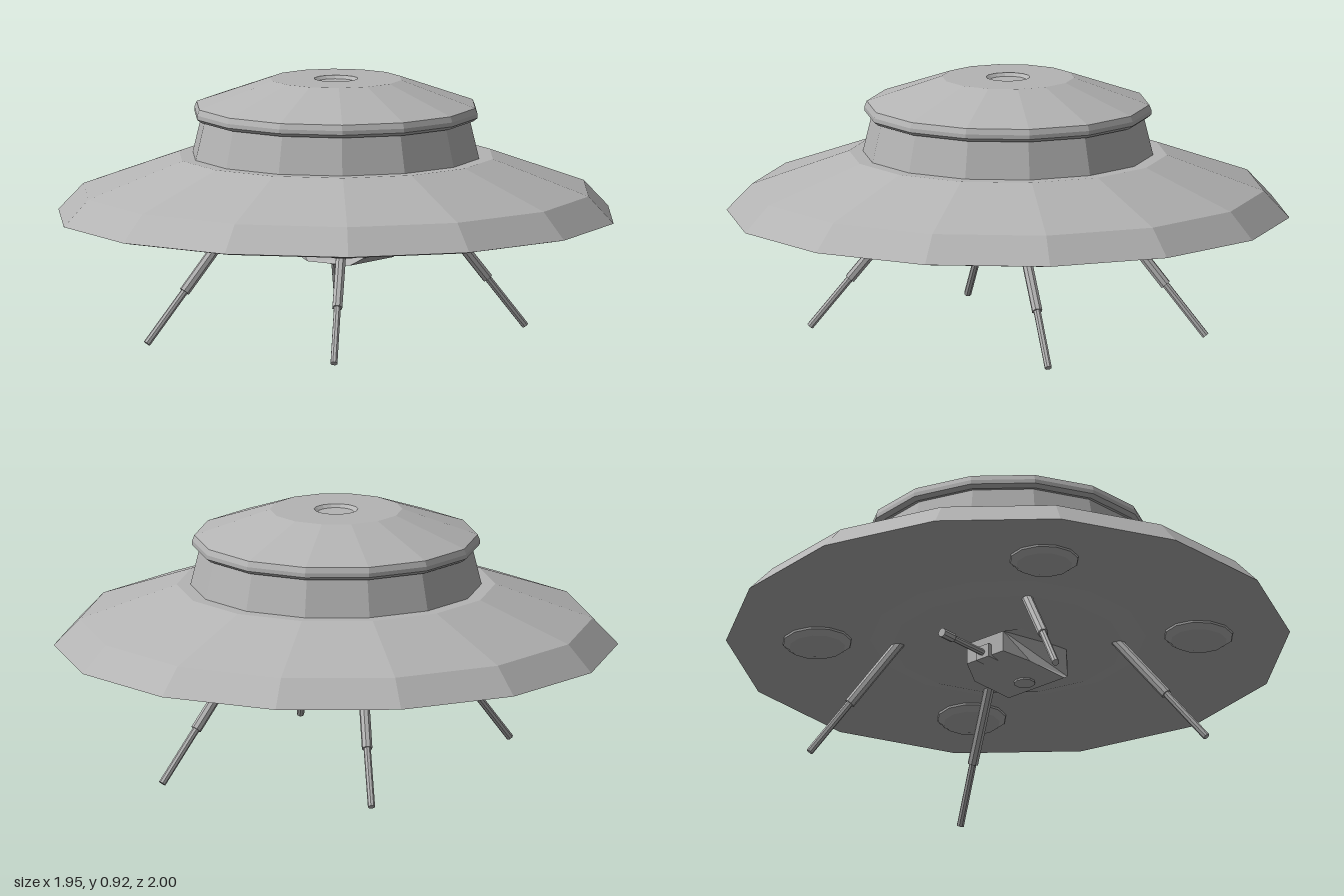
import * as THREE from 'three';

const SIDES = 14;

export function createModel() {
  const model = new THREE.Group();
  model.name = 'flyingSaucer';
  const grey = new THREE.MeshStandardMaterial({ color: 0xb4b4b4, flatShading: true });
  grey.name = 'hull grey';

  const add = (name, geometry, parent = model) => {
    const mesh = new THREE.Mesh(geometry, grey);
    mesh.name = name;
    parent.add(mesh);
    return mesh;
  };
  // Profile points run from the bottom up, as [radius, height]
  const lathe = (points, sides = SIDES) =>
    new THREE.LatheGeometry(points.map(p => new THREE.Vector2(...p)), sides);
  // Cylinder between two points
  const rod = (name, a, b, ra, rb, sides, parent) => {
    const dir = b.clone().sub(a);
    const mesh = add(name, new THREE.CylinderGeometry(rb, ra, dir.length(), sides), parent);
    mesh.position.copy(a).add(b).multiplyScalar(0.5);
    mesh.quaternion.setFromUnitVectors(new THREE.Vector3(0, 1, 0), dir.normalize());
    return mesh;
  };

  // Wide disc with a raised belly plate underneath
  add('saucerHull', lathe([
    [0, 0.402], [0.41, 0.402], [0.49, 0.427], [0.96, 0.427], [1, 0.435],
    [0.91, 0.53], [0.565, 0.655], [0.4, 0.655],
  ]));
  // Tapered neck
  add('neck', lathe([[0.517, 0.65], [0.483, 0.79]]));
  // Overhanging cap with a shallow dimple on top
  add('domeCap', lathe([
    [0.4, 0.788], [0.495, 0.788], [0.51, 0.8], [0.51, 0.815], [0.502, 0.835],
    [0.235, 0.929], [0.078, 0.929], [0.065, 0.918], [0, 0.918],
  ]));

  // Belly pods and telescopic legs, one of each per quadrant
  const pod = lathe([[0, 0.389], [0.055, 0.391], [0.1, 0.403], [0.122, 0.42], [0.125, 0.432]], 12);
  for (const sx of [1, -1]) {
    for (const sz of [1, -1]) {
      add('bellyPod', pod).position.set(sx * 0.53, 0, sz * 0.42);

      const leg = new THREE.Group();
      leg.name = 'landingLeg';
      model.add(leg);
      const at = (x, y, z) => new THREE.Vector3(sx * x, y, sz * z);
      rod('upperLeg', at(0.287, 0.425, 0.238), at(0.452, 0.19, 0.335), 0.019, 0.019, 8, leg);
      rod('lowerLeg', at(0.445, 0.2, 0.331), at(0.575, 0.012, 0.41), 0.013, 0.013, 8, leg);
    }
  }

  // Turret: side profile in (-z, y), extruded across x, narrowed at both ends
  const turret = new THREE.Group();
  turret.name = 'turret';
  model.add(turret);
  const profile = new THREE.Shape([
    [-0.165, 0.405], [-0.2, 0.365], [-0.2, 0.315], [-0.155, 0.287],
    [0.03, 0.287], [0.125, 0.308], [0.125, 0.385], [0.06, 0.405],
  ].map(p => new THREE.Vector2(...p)));
  const body = new THREE.ExtrudeGeometry(profile, { depth: 0.26, bevelEnabled: false });
  body.translate(0, 0, -0.13).rotateY(Math.PI / 2);
  const pos = body.attributes.position;
  for (let i = 0; i < pos.count; i++) {
    const z = pos.getZ(i);
    if (z > 0.19) pos.setX(i, pos.getX(i) * 0.82);
    if (z < -0.1) pos.setX(i, pos.getX(i) * 0.65);
  }
  body.computeVertexNormals();
  add('turretBody', body, turret);

  // Round hatch below the turret
  add('turretHatch', new THREE.CylinderGeometry(0.038, 0.038, 0.012, 10), turret)
    .position.set(0, 0.287, 0.09);

  // Gun pointing backwards
  const along = z => new THREE.Vector3(0, 0.322, z);
  add('gunMount', new THREE.BoxGeometry(0.06, 0.05, 0.05), turret).position.set(0, 0.324, -0.115);
  rod('gunBarrel', along(-0.1), along(-0.31), 0.012, 0.012, 8, turret);
  rod('gunMuzzle', along(-0.3), along(-0.36), 0.017, 0.017, 8, turret);

  return model;
}
